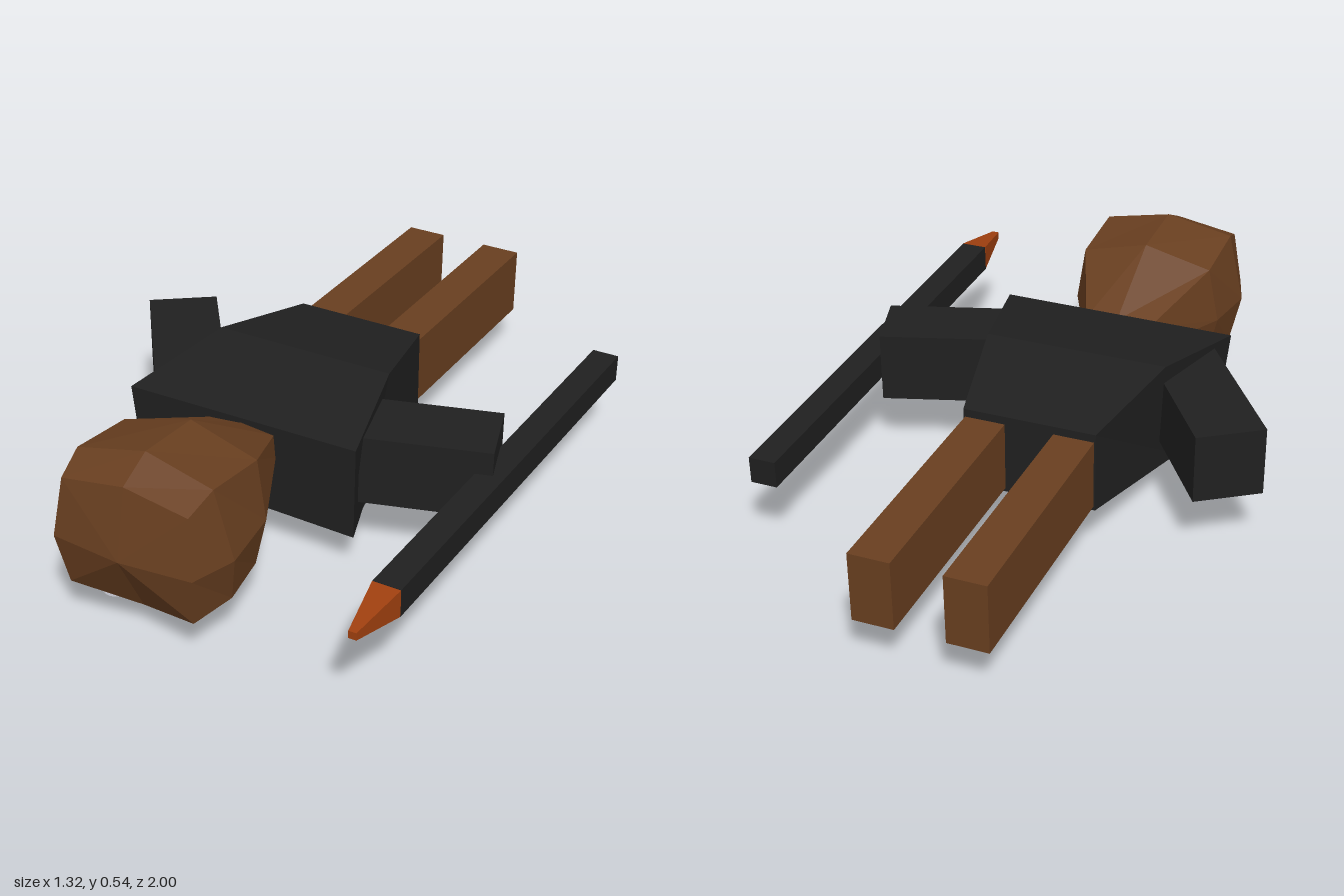
import * as THREE from 'three';

const mat = (color, side = THREE.FrontSide) =>
  new THREE.MeshStandardMaterial({ color, flatShading: true, side });

// Skin over equal rings of [x, y, z], ordered back to front, each anticlockwise seen from +z
function loft(rings) {
  const n = rings[0].length, last = (rings.length - 1) * n, index = [];
  for (let r = 0; r < last; r += n) {
    for (let j = 0; j < n; j++) {
      const k = (j + 1) % n;
      index.push(r + j, r + k, r + n + k, r + j, r + n + k, r + n + j);
    }
  }
  for (let j = 1; j < n - 1; j++) {
    index.push(0, j + 1, j, last, last + j, last + j + 1);
  }
  const g = new THREE.BufferGeometry();
  g.setAttribute('position', new THREE.Float32BufferAttribute(rings.flat(2), 3));
  g.setIndex(index);
  const flat = g.toNonIndexed();
  flat.computeVertexNormals();
  return flat;
}

// Rectangular ring
const rect = (x0, x1, y0, y1, z) => [[x0, y0, z], [x1, y0, z], [x1, y1, z], [x0, y1, z]];

export function createModel() {
  const model = new THREE.Group();
  model.name = 'lyingFigure';
  const skin = mat(0x693f20), cloth = mat(0x202020), ember = mat(0xa0400f);

  const add = (name, geometry, material) => {
    const mesh = new THREE.Mesh(geometry, material);
    mesh.name = name;
    model.add(mesh);
    return mesh;
  };

  // Box bar running from point a to point b
  const bar = (name, a, b, w, h, material) => {
    const from = new THREE.Vector3(...a), to = new THREE.Vector3(...b);
    const mesh = add(name, new THREE.BoxGeometry(w, h, from.distanceTo(to)), material);
    mesh.position.copy(from).lerp(to, 0.5);
    mesh.lookAt(to);
    return mesh;
  };

  // Torso: wide at the shoulders, with a ridge across the back and the chest
  add('torso', loft([
    rect(-0.245, 0.15, 0.14, 0.38, -0.29),
    [[-0.32, 0.075, 0.2], [0.225, 0.075, 0.2], [0.225, 0.44, 0.05], [-0.325, 0.44, 0.05]],
    [[-0.38, 0.14, 0.395], [0.3, 0.12, 0.395], [0.305, 0.4, 0.395], [-0.41, 0.395, 0.395]],
  ]), cloth);

  // Legs
  bar('leftLeg', [0.085, 0.232, -1], [0.085, 0.255, -0.24], 0.12, 0.205, skin);
  bar('rightLeg', [-0.18, 0.232, -1], [-0.18, 0.255, -0.24], 0.12, 0.205, skin);

  // Arms
  bar('leftArm', [0.59, 0.283, 0.108], [0.18, 0.288, 0.236], 0.212, 0.208, cloth);
  bar('rightArm', [-0.582, 0.277, -0.14], [-0.3, 0.285, 0.256], 0.204, 0.205, cloth);

  // Torch with a tapered glowing tip
  bar('torchHandle', [0.615, 0.245, -0.61], [0.615, 0.301, 0.81], 0.08, 0.08, cloth);
  add('torchTip', loft([
    rect(0.575, 0.655, 0.261, 0.341, 0.81),
    rect(0.604, 0.626, 0.296, 0.318, 0.985),
  ]), ember);

  // Head: each half profile runs from the underside to the crown and is mirrored
  const cx = -0.05;
  const headRing = (half) => [
    ...half.map(([x, y, z]) => [cx + x, y, z]),
    ...half.slice(1, -1).reverse().map(([x, y, z]) => [cx - x, y, z]),
  ];
  add('head', loft([
    [[0, 0.2, 0.39], [0.09, 0.22, 0.39], [0.105, 0.3, 0.39], [0.1, 0.37, 0.39], [0, 0.38, 0.39]],
    [[0, 0.005, 0.66], [0.2, 0.15, 0.66], [0.235, 0.3, 0.66], [0.205, 0.47, 0.65], [0, 0.525, 0.64]],
    [[0, 0.115, 0.8], [0.225, 0.15, 0.82], [0.255, 0.295, 0.85], [0.205, 0.5, 0.86], [0, 0.545, 0.85]],
    [[0, 0.095, 0.895], [0.19, 0.14, 0.95], [0.21, 0.295, 0.98], [0.19, 0.465, 0.955], [0, 0.497, 0.955]],
    Array(5).fill([0, 0.295, 1]),
  ].map(headRing)), skin);

  // Eyes: thin discs with dark pupils, facing down
  const white = mat(0xb8b8c0, THREE.DoubleSide), iris = mat(0x26355c, THREE.DoubleSide);
  const black = mat(0x0a0a0a, THREE.DoubleSide);
  for (const [side, x, y] of [['left', 0.04, 0.108], ['right', -0.18, 0.06]]) {
    [['Eye', 0.04, white], ['Iris', 0.026, iris], ['Pupil', 0.015, black]].forEach(([part, r, m], i) => {
      const disc = add(side + part, new THREE.CircleGeometry(r, 16), m);
      disc.rotation.x = Math.PI / 2;
      disc.position.set(x, y - i * 0.002, 0.83);
    });
  }

  // Mouth: a dark patch under the chin
  const mouth = add('mouth', new THREE.PlaneGeometry(0.155, 0.07), black);
  mouth.rotation.x = Math.PI / 2 + 0.32;
  mouth.position.set(-0.06, 0.092, 0.535);

  return model;
}
